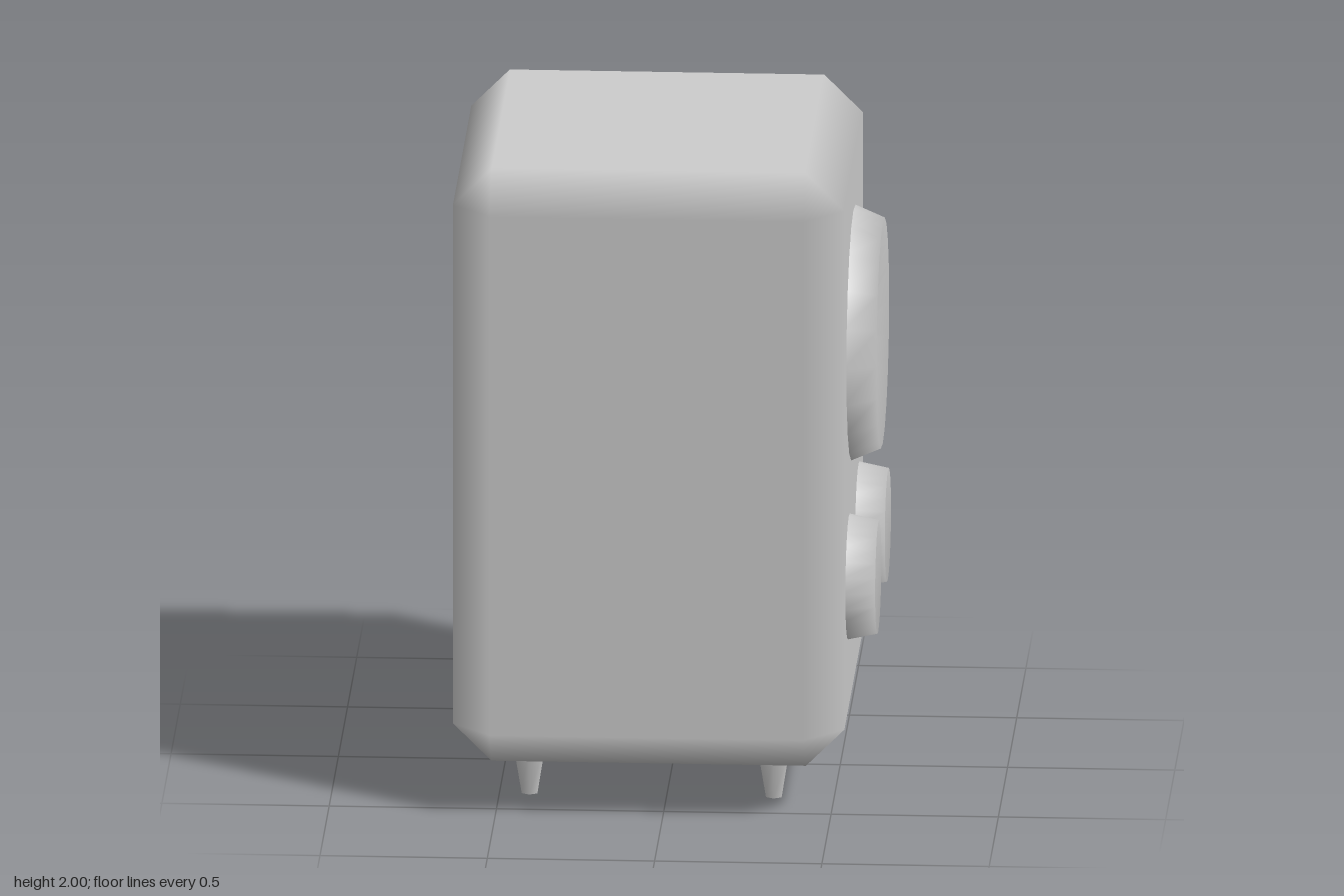
import * as THREE from 'three';
import { ConvexGeometry } from 'three/addons/geometries/ConvexGeometry.js';

const material = new THREE.MeshStandardMaterial({ color: 0xcccccc });

function addMesh(parent, name, geometry, x, y, z) {
  const mesh = new THREE.Mesh(geometry, material);
  mesh.name = name;
  mesh.position.set(x, y, z);
  parent.add(mesh);
  return mesh;
}

// Box with a single-cut bevel; every corner keeps its main face's normal,
// so the faces stay flat and the bevels blend softly between them.
function bevelledBox(w, h, d, bevel) {
  const half = [w / 2, h / 2, d / 2];
  const points = [];
  for (let axis = 0; axis < 3; axis++)
    for (const sx of [-1, 1]) for (const sy of [-1, 1]) for (const sz of [-1, 1]) {
      const p = [sx, sy, sz].map((s, i) => s * (half[i] - (i === axis ? 0 : bevel)));
      points.push(new THREE.Vector3(...p));
    }
  const geometry = new ConvexGeometry(points);
  const pos = geometry.attributes.position;
  const normal = geometry.attributes.normal;
  for (let i = 0; i < pos.count; i++) {
    const p = [pos.getX(i), pos.getY(i), pos.getZ(i)];
    normal.setXYZ(i, ...p.map((v, k) => (Math.abs(v) > half[k] - 1e-4 ? Math.sign(v) : 0)));
  }
  return geometry;
}

// Driver facing +x: tapered outer ring, recessed cone and central dust cap
function addDriver(parent, name, { y, z, profile, sides, capHeight, capBase }) {
  const driver = new THREE.Group();
  driver.name = name;
  driver.position.set(0.53, y, z);
  const cone = new THREE.LatheGeometry(profile.map(([r, h]) => new THREE.Vector2(r, h)), sides);
  cone.rotateZ(-Math.PI / 2);
  addMesh(driver, 'speakerCone', cone, 0, 0, 0);
  const cap = new THREE.SphereGeometry(0.075, 8, 4, 0, Math.PI * 2, 0, Math.PI / 2);
  cap.scale(1, capHeight / 0.075, 1);
  cap.rotateZ(-Math.PI / 2);
  addMesh(driver, 'dustCap', cap, capBase, 0, 0);
  parent.add(driver);
}

export function createModel() {
  const model = new THREE.Group();
  model.name = 'loudspeaker';

  addMesh(model, 'cabinet', bevelledBox(1.17, 1.85, 1.23, 0.115), -0.045, 1.075, 0);

  // Large driver above
  addDriver(model, 'woofer', {
    y: 1.355, z: 0.013, sides: 20, capHeight: 0.035, capBase: 0.025,
    profile: [[0.386, 0], [0.345, 0.098], [0.07, 0.025], [0, 0.02]],
  });

  // Pair of small drivers below
  for (const [name, z] of [['leftTweeter', 0.262], ['rightTweeter', -0.264]])
    addDriver(model, name, {
      y: 0.67, z, sides: 24, capHeight: 0.06, capBase: 0.025,
      profile: [[0.19, 0], [0.17, 0.098], [0.075, 0.025], [0, 0.02]],
    });

  // Four tapered hexagonal feet
  for (const x of [-0.41, 0.32])
    for (const z of [0.325, -0.35])
      addMesh(model, 'foot', new THREE.CylinderGeometry(0.055, 0.027, 0.155, 6), x, 0.0775, z);

  return model;
}
